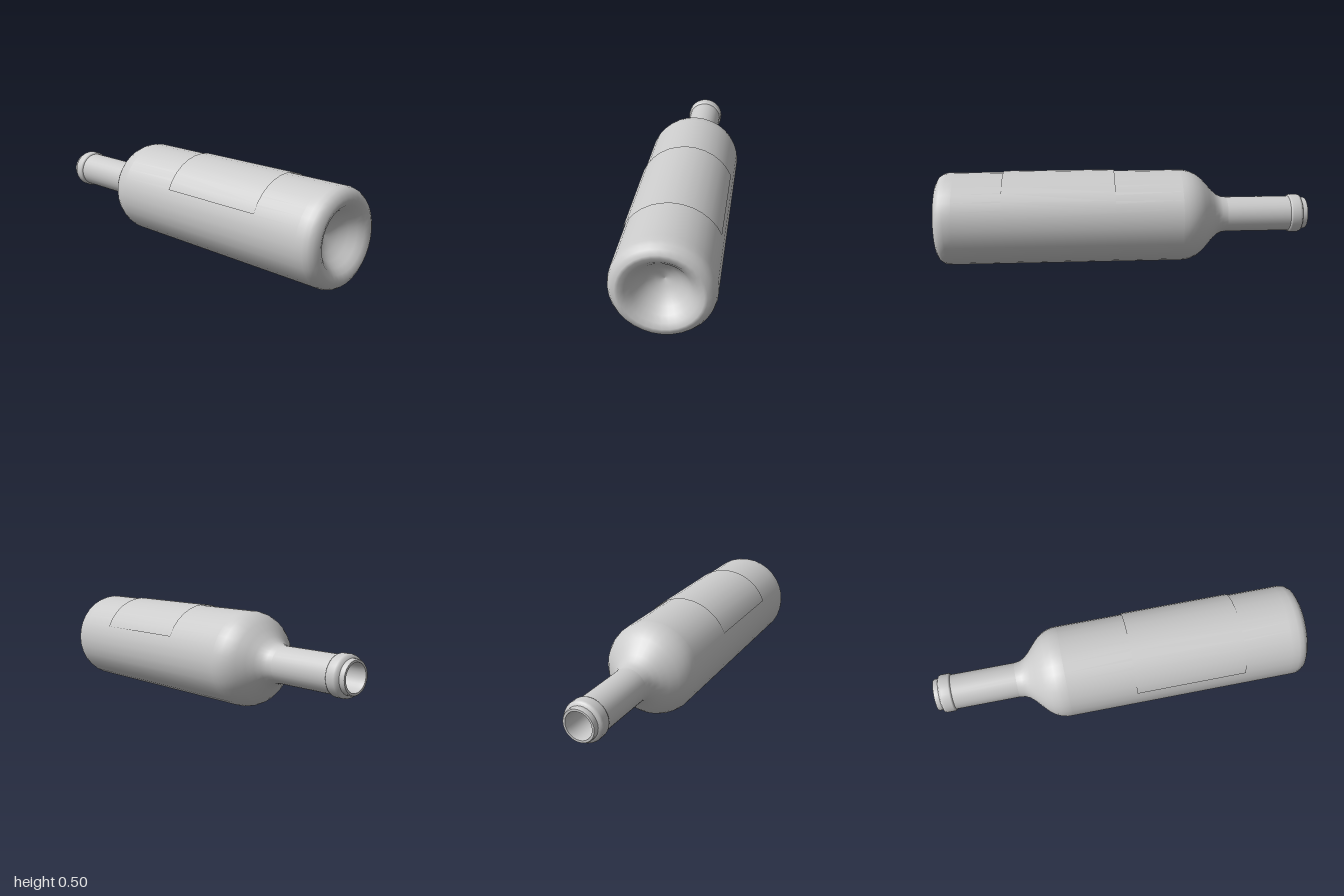
import * as THREE from 'three';

const SIDES = 32;
const AXIS_Y = 0.249; // height of the bottle's axis as it lies on its side

const material = new THREE.MeshStandardMaterial({ color: 0xcccccc, side: THREE.DoubleSide });

// Turns [radius, z] pairs, listed from base to mouth, around the z axis
function turned(name, profile) {
  const points = profile.map(([r, z]) => new THREE.Vector2(r, -z));
  const geometry = new THREE.LatheGeometry(points, SIDES).rotateX(-Math.PI / 2);
  const mesh = new THREE.Mesh(geometry, material);
  mesh.name = name;
  return mesh;
}

export function createModel() {
  const bottle = new THREE.Group();
  bottle.name = 'bottle';

  // Hollow base with its rounded rim
  bottle.add(turned('base', [
    [0, 0.87], [0.04, 0.88], [0.08, 0.9], [0.115, 0.93], [0.14, 0.962],
    [0.165, 0.987], [0.19, 0.999], [0.205, 0.998], [0.228, 0.985], [0.242, 0.965],
    [0.248, 0.94], [0.248, 0.9],
  ]));

  // Straight body
  bottle.add(turned('body', [[0.248, 0.9], [0.248, -0.3]]));

  // Shoulder sweeping into the neck
  bottle.add(turned('shoulder', [
    [0.248, -0.3], [0.247, -0.325], [0.24, -0.355], [0.225, -0.388], [0.2, -0.42],
    [0.165, -0.452], [0.133, -0.48], [0.111, -0.505], [0.099, -0.53], [0.095, -0.56],
  ]));

  // Neck
  bottle.add(turned('neck', [[0.095, -0.56], [0.095, -0.91]]));

  // Raised ring below the mouth
  bottle.add(turned('neckRing', [
    [0.094, -0.905], [0.102, -0.908], [0.104, -0.915], [0.104, -0.955],
    [0.1, -0.967], [0.085, -0.974],
  ]));

  // Lip and the bore inside it
  bottle.add(turned('lip', [[0.086, -0.97], [0.086, -0.994], [0.082, -1]]));
  bottle.add(turned('mouthRim', [[0.082, -1], [0.071, -1]]));
  bottle.add(turned('bore', [[0.071, -1], [0.068, -0.97], [0.068, -0.7]]));
  bottle.add(turned('boreEnd', [[0.068, -0.7], [0, -0.7]]));

  // Thin label wrapped over the upper side
  const step = (Math.PI * 2) / SIDES;
  const labelGeometry = new THREE.CylinderGeometry(
    0.254, 0.254, 0.59, 12, 1, true, -6 * step, 12 * step,
  ).rotateX(-Math.PI / 2).translate(0, 0, 0.35);
  const label = new THREE.Mesh(labelGeometry, material);
  label.name = 'label';
  bottle.add(label);

  bottle.position.y = AXIS_Y;
  const model = new THREE.Group();
  model.add(bottle);
  return model;
}
